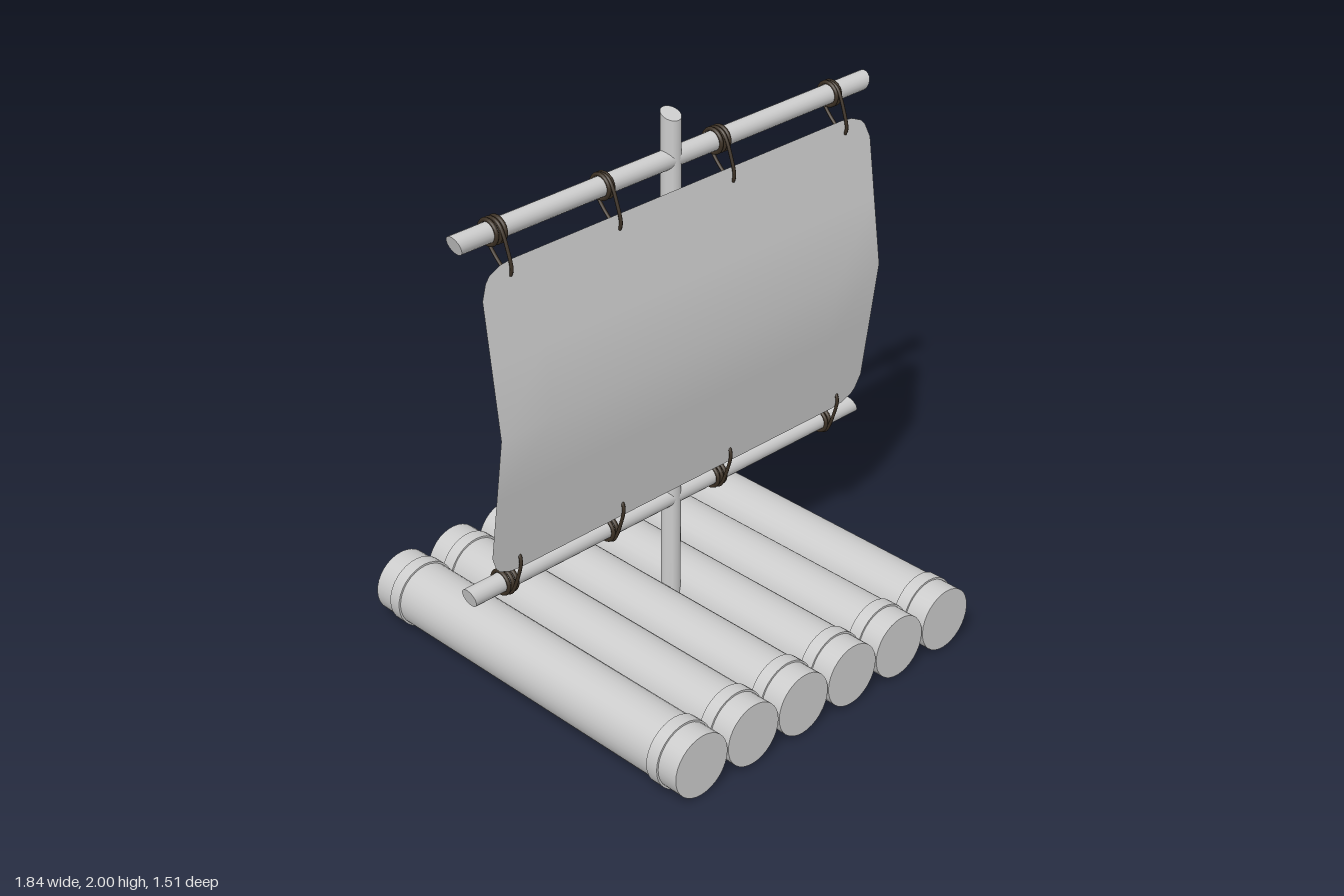
import * as THREE from 'three';
import { toCreasedNormals } from 'three/addons/utils/BufferGeometryUtils.js';

const grey = new THREE.MeshStandardMaterial({ color: 0xcccccc });
const sailMat = new THREE.MeshStandardMaterial({ color: 0xcccccc, side: THREE.DoubleSide });
const ropeMat = new THREE.MeshStandardMaterial({ color: 0x3b3024 });

function add(parent, name, geometry, material) {
  const mesh = new THREE.Mesh(geometry, material);
  mesh.name = name;
  parent.add(mesh);
  return mesh;
}

// Round pole along y whose ends are cut at a slant
function poleGeometry(r, length, { topX = 0, topZ = 0, bottomX = 0 }) {
  const g = new THREE.CylinderGeometry(r, r, length, 20);
  const p = g.attributes.position;
  for (let i = 0; i < p.count; i++) {
    const x = p.getX(i), y = p.getY(i), z = p.getZ(i);
    p.setY(i, y + (y > 0 ? topX * x + topZ * z : bottomX * x));
  }
  return toCreasedNormals(g, 0.7);
}

// Log lying along z with two raised bands
function makeLog(x) {
  const log = new THREE.Group();
  log.name = 'log';
  add(log, 'logBody', new THREE.CylinderGeometry(0.117, 0.117, 1.51, 32), grey);
  for (const side of [-1, 1]) {
    add(log, 'logBand', new THREE.CylinderGeometry(0.124, 0.124, 0.048, 32), grey).position.y = side * 0.65;
  }
  log.rotation.x = Math.PI / 2;
  log.position.set(x, 0.128, 0);
  return log;
}

// Rope lashing: rings around the yard and a long loop reaching the sail; dir is +1 up, -1 down
function makeLashing(x, y, dir, rings) {
  const lashing = new THREE.Group();
  lashing.name = 'lashing';
  for (let i = 0; i < rings; i++) {
    const ring = add(lashing, 'ropeRing', new THREE.TorusGeometry(0.041, 0.007, 8, 24), ropeMat);
    ring.rotation.y = Math.PI / 2;
    ring.rotation.x = 0.08;
    ring.position.x = (i - (rings - 1) / 2) * 0.018;
  }
  const outline = [[-0.042, 0.005], [-0.03, 0.035], [0.05, 0.068], [0.11, 0.079], [0.133, 0.066],
    [0.1, 0.02], [0.05, -0.022], [0, -0.042], [-0.03, -0.03]];
  const points = outline.map(([h, z]) => new THREE.Vector3(0.04 * h, dir * h, z));
  const curve = new THREE.CatmullRomCurve3(points, true);
  add(lashing, 'ropeLoop', new THREE.TubeGeometry(curve, 48, 0.006, 8, true), ropeMat);
  lashing.position.set(x, y, 0);
  return lashing;
}

// Sail sheet with clipped corners, folded forward across the middle
function sailGeometry() {
  const rows = [[0.56, 0.74], [0.554, 0.79], [0.535, 0.835], [0.515, 0.853], [0.465, 0.873], [0.25, 0.873]];
  const profile = [...rows, [0, 0.873], ...rows.map(([h, w]) => [-h, w]).reverse()];
  const cols = 8;
  const g = new THREE.PlaneGeometry(2, 2, cols, profile.length - 1);
  const p = g.attributes.position;
  for (let i = 0; i < p.count; i++) {
    const [h, w] = profile[Math.floor(i / (cols + 1))];
    p.setXYZ(i, p.getX(i) * w, 1.193 + h, 0.145 - 0.14 * Math.abs(h));
  }
  g.computeVertexNormals();
  return g;
}

export function createModel() {
  const raft = new THREE.Group();
  raft.name = 'raft';

  // Deck
  const deck = new THREE.Group();
  deck.name = 'deck';
  for (let i = 0; i < 6; i++) deck.add(makeLog((i - 2.5) * 0.238));
  raft.add(deck);

  // Mast
  add(raft, 'mast', poleGeometry(0.035, 1.87, { topZ: -0.4 }), grey).position.y = 1.051;

  // Yards and their lashings
  const yards = [
    { name: 'upperYard', y: 1.831, dir: -1, cut: { topX: -0.33, bottomX: 0.33 } },
    { name: 'lowerYard', y: 0.558, dir: 1, cut: { topX: 0.4, bottomX: 0.25 } },
  ];
  for (const { name, y, dir, cut } of yards) {
    const yard = add(raft, name, poleGeometry(0.034, 1.82, cut), grey);
    yard.rotation.z = -Math.PI / 2;
    yard.position.y = y;
    for (const [x, rings] of [[-0.757, 3], [-0.3, 2], [0.208, 3], [0.748, 2]]) {
      raft.add(makeLashing(x, y, dir, rings));
    }
  }

  // Sail
  add(raft, 'sail', sailGeometry(), sailMat);
  return raft;
}
